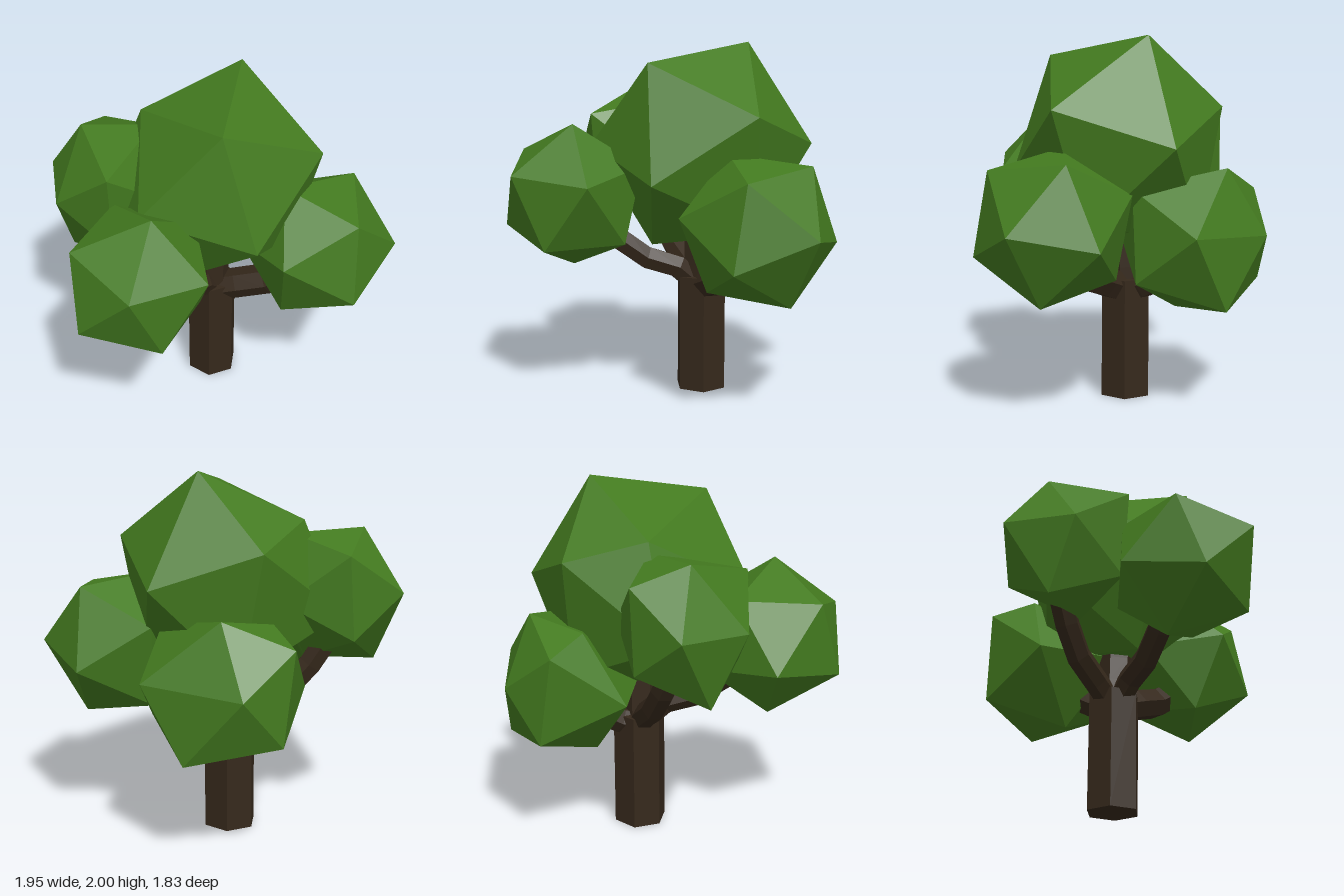
import * as THREE from 'three';
import { ConvexGeometry } from 'three/addons/geometries/ConvexGeometry.js';

const leaf = new THREE.MeshStandardMaterial({ color: 0x437a1f, flatShading: true });
const bark = new THREE.MeshStandardMaterial({ color: 0x35281b, flatShading: true });
const vec = (p) => new THREE.Vector3(...p);

// Twenty-sided leaf clump: a centre and the corners of one face give all twelve
// corners by symmetry; "moved" then shifts single corners for an uneven shape.
function clump(name, centre, face, moved = {}) {
  const c = vec(centre);
  const [p, q, r] = face.map((f) => vec(f).sub(c));
  const k = (Math.sqrt(5) - 1) / 2;
  const across = (u, v, w) => u.clone().add(v).multiplyScalar(k).sub(w);
  const half = [p, q, r, across(p, q, r), across(p, r, q), across(q, r, p)];
  const corners = [...half, ...half.map((v) => v.clone().negate())].map((v) => v.add(c));
  for (const i in moved) corners[i] = vec(moved[i]);
  const mesh = new THREE.Mesh(new ConvexGeometry(corners), leaf);
  mesh.name = name;
  return mesh;
}

// Six-sided branch swept along a curve
function branch(name, radius, points) {
  const curve = new THREE.CatmullRomCurve3(points.map(vec));
  const mesh = new THREE.Mesh(new THREE.TubeGeometry(curve, 4, radius, 6), bark);
  mesh.name = name;
  return mesh;
}

export function createModel() {
  const tree = new THREE.Group();
  tree.name = 'tree';

  // Trunk: straight hexagonal post
  const trunk = new THREE.Mesh(
    new THREE.CylinderGeometry(0.15, 0.15, 0.67, 6, 1, false, THREE.MathUtils.degToRad(13)), bark);
  trunk.position.set(-0.055, 0.335, -0.185);
  trunk.name = 'trunk';
  tree.add(trunk);

  // Branches, each ending inside a clump
  const fork = [-0.055, 0.6, -0.18];
  tree.add(
    branch('leaderBranch', 0.1, [fork, [-0.05, 0.85, -0.18], [-0.05, 1.15, -0.17]]),
    branch('frontBranch', 0.07, [fork, [-0.07, 0.73, -0.03], [-0.12, 0.8, 0.17], [-0.2, 1.02, 0.4]]),
    branch('rightBranch', 0.07, [fork, [-0.2, 0.7, -0.16], [-0.4, 0.83, -0.12], [-0.58, 1.1, -0.05]]),
    branch('leftBranch', 0.09, [fork, [0.1, 0.66, -0.19], [0.35, 0.76, -0.22], [0.55, 0.95, -0.25]]),
    branch('backBranch', 0.08, [fork, [-0.09, 0.65, -0.33], [-0.15, 0.85, -0.6]]),
  );

  // Leaf clumps
  tree.add(
    clump('crown', [-0.05, 1.425, -0.17],
      [[0.03, 2.0, -0.43], [0.145, 1.895, 0.215], [0.553, 1.62, -0.25]],
      { 3: [-0.46, 1.74, -0.16], 10: [-0.25, 1.43, 0.41], 11: [-0.377, 1.62, -0.597] }),
    clump('frontClump', [-0.213, 1.147, 0.531],
      [[-0.11, 1.56, 0.56], [-0.09, 1.29, 0.915], [0.2, 1.245, 0.575]]),
    clump('rightClump', [-0.59, 1.33, -0.01],
      [[-0.975, 1.36, -0.05], [-0.74, 1.69, 0.02], [-0.78, 1.34, 0.305]],
      { 3: [-0.74, 1.58, -0.28], 4: [-0.79, 0.95, 0.12], 5: [-0.445, 1.585, 0.35] }),
    clump('leftClump', [0.553, 1.027, -0.257],
      [[0.973, 1.03, -0.39], [0.85, 0.866, 0.026], [0.73, 0.636, -0.36]]),
    clump('backClump', [-0.16, 0.945, -0.616],
      [[-0.06, 0.585, -0.91], [-0.197, 0.515, -0.43], [-0.53, 0.68, -0.74]],
      { 4: [-0.377, 0.95, -0.916], 6: [-0.4, 1.25, -0.5], 7: [-0.215, 1.31, -0.775], 11: [0.17, 0.99, -0.9] }),
  );
  return tree;
}
